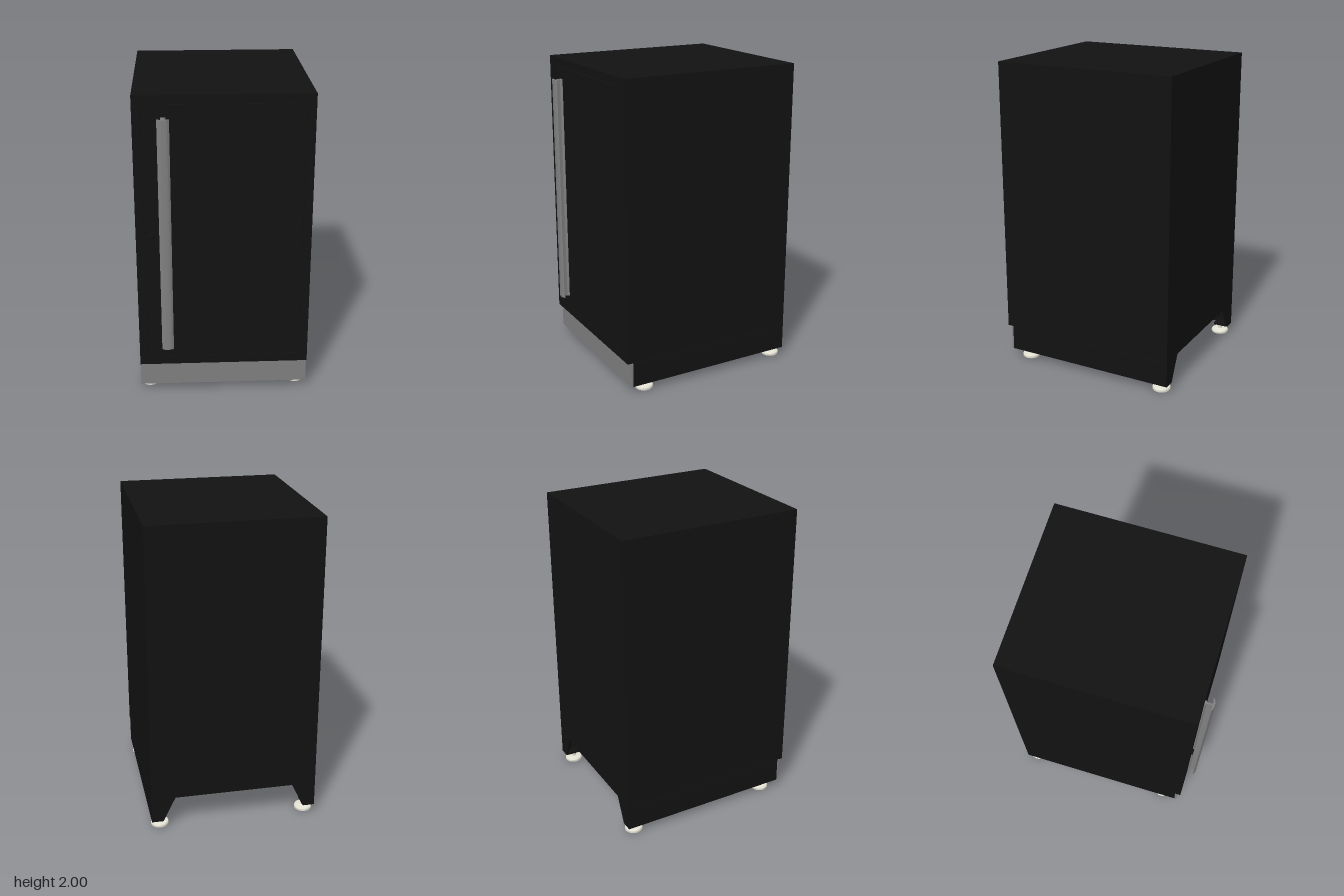
import * as THREE from 'three';

const black = new THREE.MeshStandardMaterial({ color: 0x121212 });
const steel = new THREE.MeshStandardMaterial({ color: 0x808080 });
const footMat = new THREE.MeshStandardMaterial({ color: 0xe6e4d6 });

const W = 0.54, BACK = -0.625, FRONT = 0.563, TOP = 2, FLOOR = 0.215;
const BASE_TOP = 0.211, BASE_BOTTOM = 0.05, PLINTH = 0.537;

export function createModel() {
  const model = new THREE.Group();

  const add = (name, geometry, material, parent = model) => {
    const mesh = new THREE.Mesh(geometry, material);
    mesh.name = name;
    parent.add(mesh);
    return mesh;
  };
  // Box given by its minimum and maximum corners
  const box = (name, a, b, material, parent) => {
    const g = new THREE.BoxGeometry(b[0] - a[0], b[1] - a[1], b[2] - a[2]);
    g.translate((a[0] + b[0]) / 2, (a[1] + b[1]) / 2, (a[2] + b[2]) / 2);
    return add(name, g, material, parent);
  };
  const polygon = (points) => new THREE.Shape(points.map(([x, y]) => new THREE.Vector2(x, y)));
  const rect = (x, y0, y1) => polygon([[-x, y0], [x, y0], [x, y1], [-x, y1]]);

  // Cabinet with a front frame around a flush door, a narrow groove between them
  const groove = 0.015;
  box('cabinetBody', [-W, FLOOR, BACK], [W, TOP, FRONT - groove], black);
  const frame = rect(W, FLOOR, TOP);
  frame.holes.push(rect(0.487, 0.272, 1.948));
  const frameGeo = new THREE.ExtrudeGeometry(frame, { depth: groove, bevelEnabled: false });
  frameGeo.translate(0, 0, FRONT - groove);
  add('frontFrame', frameGeo, black);
  box('door', [-0.481, 0.278, FRONT - groove], [0.481, 1.942, FRONT], black);

  // Full-length handle: footed stem carrying a curved grip flange
  const hx = -0.358;
  const half = [[0.016, FRONT], [0.014, 0.569], [0.005, 0.576], [0.005, 0.607],
    [0.018, 0.61], [0.03, 0.606], [0.036, 0.603], [0.037, 0.611], [0.024, 0.619], [0.01, 0.622]];
  const outline = [...half, ...half.map(([x, z]) => [-x, z]).reverse()];
  const handleGeo = new THREE.ExtrudeGeometry(polygon(outline.map(([x, z]) => [x, -z]).reverse()),
    { depth: 1.515, bevelEnabled: false });
  handleGeo.rotateX(-Math.PI / 2).translate(hx, 0.353, 0);
  add('handle', handleGeo, steel);

  // Round door lock with a keyway bar
  const lock = new THREE.Group();
  lock.name = 'lock';
  lock.position.set(-0.446, 1.11, FRONT);
  model.add(lock);
  add('lockRim', new THREE.CylinderGeometry(0.016, 0.02, 0.011, 32).rotateX(Math.PI / 2).translate(0, 0, 0.0055), black, lock);
  box('lockKeyway', [-0.003, -0.009, 0.01], [0.003, 0.009, 0.0125], black, lock);

  // Base: grey front plinth, black side panels, open at the back
  const t = 0.012;
  box('plinth', [-W, BASE_BOTTOM, PLINTH - t], [W, BASE_TOP, PLINTH], steel);
  for (const s of [-1, 1]) {
    const x0 = s * W, x1 = s * (W - t);
    box('baseSide', [Math.min(x0, x1), BASE_BOTTOM, BACK], [Math.max(x0, x1), BASE_TOP, PLINTH - t], black);
  }

  // Tapered corner plates, mounting plates and levelling feet
  const footProfile = [[0, 0.003], [0.056, 0.003], [0.058, 0.005], [0.058, 0.018], [0.058, 0.018],
    [0.054, 0.025], [0.054, 0.025], [0.02, 0.029], [0.015, 0.03], [0.015, 0.03], [0.015, 0.056]]
    .map(([r, y]) => new THREE.Vector2(r, y - 0.003));
  const footGeo = new THREE.LatheGeometry(footProfile, 32);
  for (const s of [-1, 1]) {
    for (const [z, plateZ] of [[0.42, PLINTH - 2 * t], [-0.563, BACK]]) {
      const corner = polygon([[s * W, BASE_BOTTOM], [s * W, FLOOR], [s * 0.385, FLOOR], [s * 0.465, BASE_BOTTOM]]);
      const plate = new THREE.ExtrudeGeometry(corner, { depth: t, bevelEnabled: false });
      add('cornerPlate', plate.translate(0, 0, plateZ), black);
      const x0 = s * (W - t), x1 = s * 0.462;
      const z0 = z > 0 ? z - 0.04 : BACK + t, z1 = z > 0 ? PLINTH - 2 * t : z + 0.04;
      box('footMount', [Math.min(x0, x1), BASE_BOTTOM, z0], [Math.max(x0, x1), BASE_BOTTOM + t, z1], black);
      add('foot', footGeo, footMat).position.set(s * 0.482, 0, z);
    }
  }
  return model;
}
